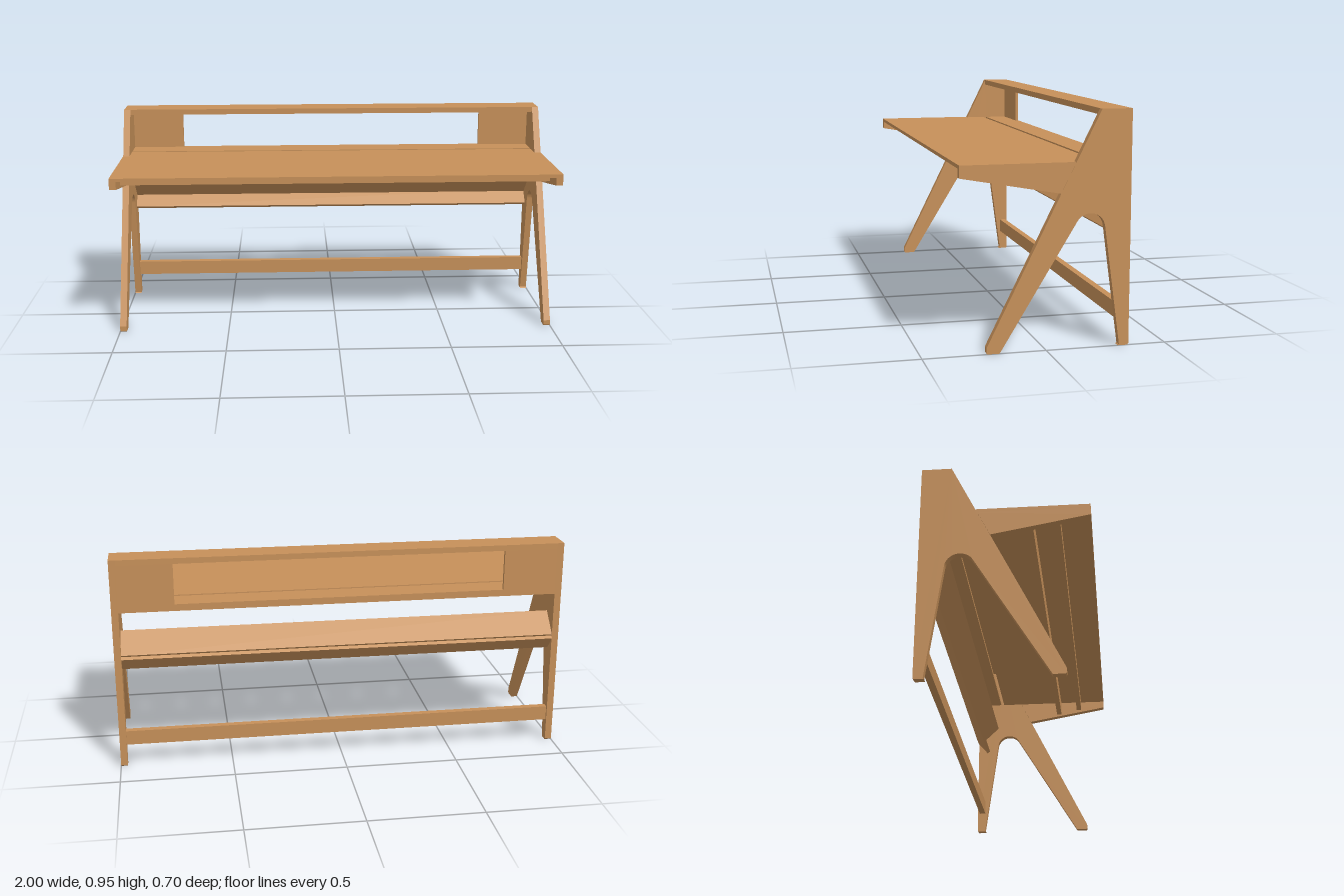
import * as THREE from 'three';

const wood = new THREE.MeshStandardMaterial({ color: 0xc69059 });
wood.name = 'warm wood';

const SIDE = 0.03; // side panel thickness
const INNER = 1 - SIDE; // inner face of the side panels

// Extrudes a (z, y) profile along x from x0 to x1
function profile(name, shape, x0, x1) {
  const geo = new THREE.ExtrudeGeometry(shape, { depth: x1 - x0, bevelEnabled: false, curveSegments: 20 });
  geo.rotateY(-Math.PI / 2).translate(x1, 0, 0);
  const mesh = new THREE.Mesh(geo, wood);
  mesh.name = name;
  return mesh;
}

function polygon(points) {
  return new THREE.Shape(points.map(([a, b]) => new THREE.Vector2(a, b)));
}

// Board spanning given y and z ranges
function board(name, halfX, y0, y1, z0, z1) {
  const mesh = new THREE.Mesh(new THREE.BoxGeometry(halfX * 2, y1 - y0, z1 - z0), wood);
  mesh.position.set(0, (y0 + y1) / 2, (z0 + z1) / 2);
  mesh.name = name;
  return mesh;
}

// Side panel: two splayed legs joined by an arch, rising to a flat top
function sideShape() {
  const s = new THREE.Shape();
  s.moveTo(-0.345, 0.006);
  s.lineTo(-0.345, 0.955);
  s.lineTo(-0.22, 0.955);
  s.lineTo(0.243, 0.025);
  s.lineTo(0.243, 0.004);
  s.lineTo(0.239, 0);
  s.lineTo(0.19, 0);
  s.absarc(-0.177, 0.483, 0.062, 0.54, Math.PI - 0.137, false);
  s.lineTo(-0.305, 0.005);
  s.lineTo(-0.3, 0);
  s.lineTo(-0.34, 0);
  s.closePath();
  return s;
}

export function createModel() {
  const desk = new THREE.Group();
  desk.name = 'desk';

  // Sides and the tapered arms that carry the worktop
  const arm = polygon([[0.35, 0.7], [0.35, 0.735], [-0.11, 0.735], [-0.056, 0.627]]);
  for (const x0 of [-1, INNER]) {
    const side = x0 < 0 ? 'right' : 'left';
    desk.add(profile(side + 'SidePanel', sideShape(), x0, x0 + SIDE));
    desk.add(profile(side + 'Arm', arm, x0, x0 + SIDE));
  }

  // Worktop, notched around the side panels (drawn in x, -z)
  const top = polygon([
    [-1, -0.35], [1, -0.35], [1, 0.115], [INNER, 0.115],
    [INNER, 0.208], [-INNER, 0.208], [-INNER, 0.115], [-1, 0.115],
  ]);
  const topGeo = new THREE.ExtrudeGeometry(top, { depth: 0.015, bevelEnabled: false });
  topGeo.rotateX(-Math.PI / 2).translate(0, 0.735, 0);
  const worktop = new THREE.Mesh(topGeo, wood);
  worktop.name = 'worktop';
  desk.add(worktop);

  // Boards between the sides
  desk.add(
    board('rearShelf', INNER, 0.735, 0.75, -0.33, -0.224),
    board('topShelf', INNER, 0.93, 0.955, -0.345, -0.22),
    board('frontBeam', INNER, 0.69, 0.735, 0.2, 0.225),
    board('rearBeam', INNER, 0.665, 0.735, 0.09, 0.115),
    board('footRail', INNER, 0.1, 0.165, -0.335, -0.305),
  );

  // Back panel with a wide opening under the top shelf
  const back = polygon([
    [-INNER, 0.72], [INNER, 0.72], [INNER, 0.93], [0.73, 0.93],
    [0.73, 0.75], [-0.73, 0.75], [-0.73, 0.93], [-INNER, 0.93],
  ]);
  const backGeo = new THREE.ExtrudeGeometry(back, { depth: 0.015, bevelEnabled: false });
  const backPanel = new THREE.Mesh(backGeo.translate(0, 0, -0.345), wood);
  backPanel.name = 'backPanel';
  desk.add(backPanel);

  // Cable tray: a long sloping board and a short flap below it
  desk.add(profile('trayBoard', polygon([
    [-0.345, 0.526], [-0.327, 0.508], [-0.238, 0.593], [-0.259, 0.614],
  ]), -INNER, INNER));
  desk.add(profile('trayFlap', polygon([
    [-0.35, 0.508], [-0.297, 0.447], [-0.285, 0.458], [-0.338, 0.518],
  ]), -INNER, INNER));

  return desk;
}
